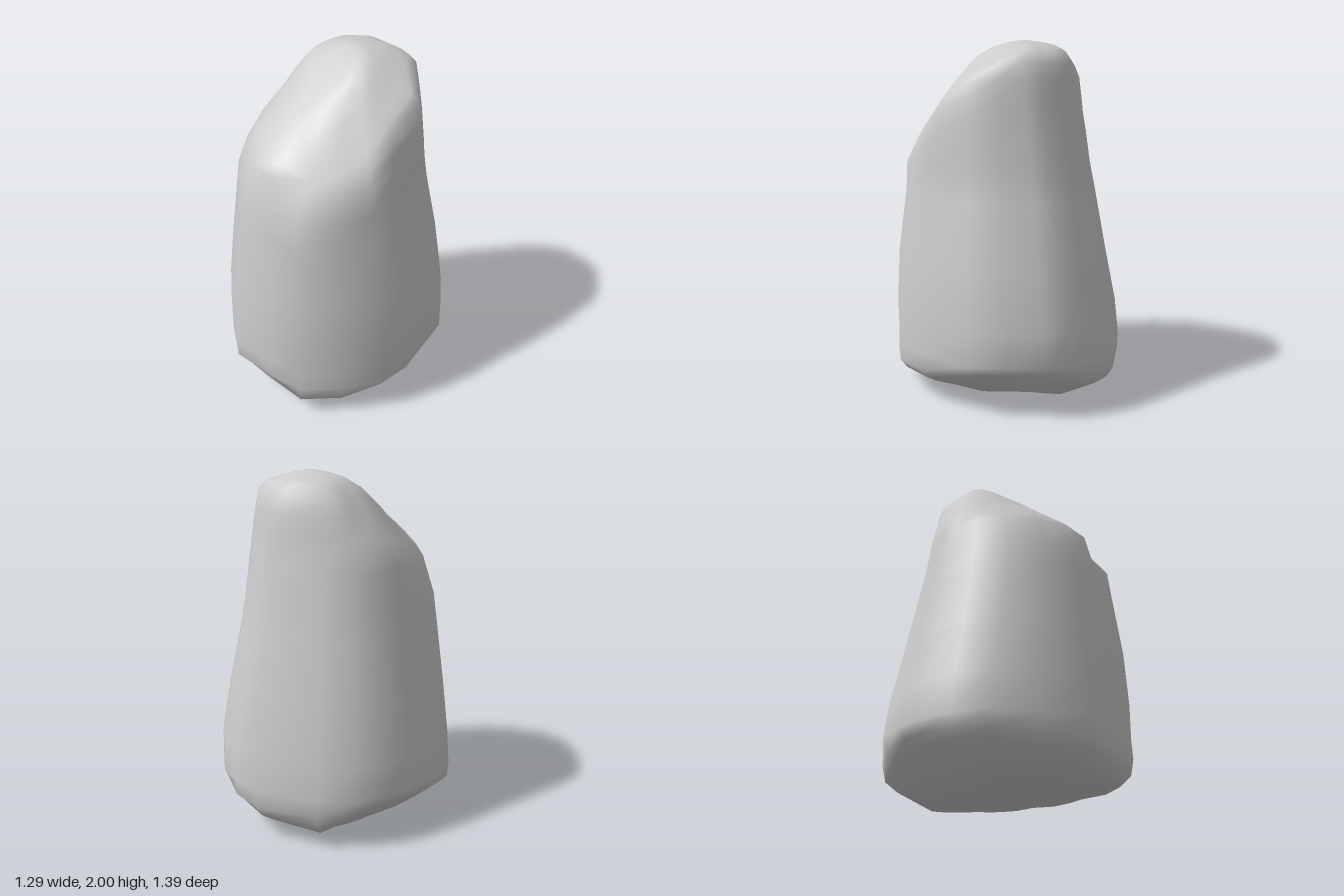
import * as THREE from 'three';

// Plan outline [x, z] at the widest level, front -> left (+x) -> back -> right
const OUTLINE = [
  [-0.08, 0.695], [0.15, 0.645], [0.37, 0.59], [0.51, 0.4], [0.635, 0.2], [0.632, 0], [0.58, -0.33],
  [0.43, -0.49], [0.28, -0.63], [0.15, -0.685], [0, -0.695], [-0.19, -0.665], [-0.46, -0.45],
  [-0.59, -0.28], [-0.63, -0.1], [-0.635, 0.04], [-0.6, 0.25], [-0.5, 0.45], [-0.3, 0.575],
];

// Tapered body before wear: y, min x, max x, min z, max z
const LEVELS = [
  [-0.04, -0.25, 0.25, -0.25, 0.25],
  [-0.04, -0.45, 0.45, -0.48, 0.48],
  [0, -0.6, 0.6, -0.64, 0.64],
  [0.1, -0.645, 0.645, -0.69, 0.69],
  [0.2, -0.65, 0.645, -0.7, 0.7],
  [0.3, -0.65, 0.64, -0.7, 0.695],
  [0.5, -0.625, 0.635, -0.685, 0.69],
  [0.8, -0.57, 0.6, -0.625, 0.665],
  [1.15, -0.51, 0.53, -0.55, 0.62],
  [1.32, -0.48, 0.515, -0.515, 0.6],
  [1.5, -0.455, 0.505, -0.485, 0.56],
  [1.6, -0.44, 0.5, -0.465, 0.54],
  [1.7, -0.43, 0.49, -0.45, 0.52],
  [1.8, -0.42, 0.475, -0.435, 0.5],
  [1.9, -0.41, 0.46, -0.42, 0.48],
  [2, -0.39, 0.43, -0.4, 0.45],
  [2.05, -0.32, 0.34, -0.36, 0.32],
  [2.05, -0.24, 0.25, -0.31, 0.18],
  [2.05, -0.16, 0.17, -0.26, 0.04],
  [2.05, -0.08, 0.09, -0.2, -0.07],
];

// Worn facets: normal x, y, z and distance from the origin
const FACETS = [
  [0, 1, 0, 2.005], // crown
  [0, 0.76, 0.65, 1.49], // long front slope
  [0, 0.87, 0.5, 1.702],
  [-0.566, 0.6, 0.566, 1.28], // corners beside the slope
  [0.566, 0.6, 0.566, 1.285],
  [-0.87, 0.5, 0, 1.172], // right shoulder
  [-0.38, 0.92, 0, 1.882],
  [0.53, 0.85, 0, 1.764], // left shoulder
  [0.9, 0.25, 0.2, 0.85],
  [0, 0.95, -0.3, 1.972], // back of the crown
  [0, 0.77, -0.64, 1.73],
  [0, -1, 0, 0], // base
  [-0.69, -0.72, 0, 0.24], // bevels around the base
  [0.55, -0.83, 0, 0.204],
  [0.21, -0.98, 0, 0.04],
  [0, -0.79, 0.61, 0.277],
  [0, -0.98, 0.21, 0.07],
  [0, -0.79, -0.61, 0.274],
  [0.45, -0.75, -0.5, 0.22],
  [-0.4, -0.82, 0.4, 0.22],
].map(([x, y, z, d]) => ({ normal: new THREE.Vector3(x, y, z), d }));

const CENTRE = new THREE.Vector3(0, 1, 0);
const SHARPNESS = 55;

// Pull a point towards the centre until it lies inside every facet, with soft edges
function wear(p) {
  p.sub(CENTRE);
  let sum = 1;
  for (const { normal, d } of FACETS) {
    const t = p.dot(normal) / (d - CENTRE.dot(normal));
    if (t > 0) sum += t ** SHARPNESS;
  }
  return p.multiplyScalar(sum ** (-1 / SHARPNESS)).add(CENTRE);
}

function createRockGeometry() {
  const n = OUTLINE.length;
  const points = [];
  const index = [];
  for (const [y, x0, x1, z0, z1] of LEVELS) {
    for (const [ox, oz] of OUTLINE) {
      const x = (x0 + x1) / 2 + (ox / 0.635) * (x1 - x0) / 2;
      const z = (z0 + z1) / 2 + (oz / 0.695) * (z1 - z0) / 2;
      // The front left corner bulges with height
      const bulge = 1 + 0.22 * y * y * Math.max(x, 0) * Math.max(z, 0);
      points.push(wear(new THREE.Vector3(x * bulge, y, z * bulge)));
    }
  }
  // Sides
  for (let i = 0; i < LEVELS.length - 1; i++) {
    for (let j = 0; j < n; j++) {
      const a = i * n + j, b = i * n + (j + 1) % n;
      index.push(a, b, b + n, a, b + n, a + n);
    }
  }
  // Centres of base and crown
  const base = points.length, crown = base + 1, last = (LEVELS.length - 1) * n;
  points.push(new THREE.Vector3(0, 0, 0), new THREE.Vector3(0, 2, -0.14));
  for (let j = 0; j < n; j++) {
    const k = (j + 1) % n;
    index.push(base, k, j, crown, last + j, last + k);
  }
  const geometry = new THREE.BufferGeometry().setFromPoints(points);
  geometry.setIndex(index);
  geometry.computeVertexNormals();
  return geometry;
}

export function createModel() {
  const group = new THREE.Group();
  group.name = 'boulder';
  const rock = new THREE.Mesh(
    createRockGeometry(),
    new THREE.MeshStandardMaterial({ color: 0xcccccc })
  );
  rock.name = 'rock';
  group.add(rock);
  return group;
}
